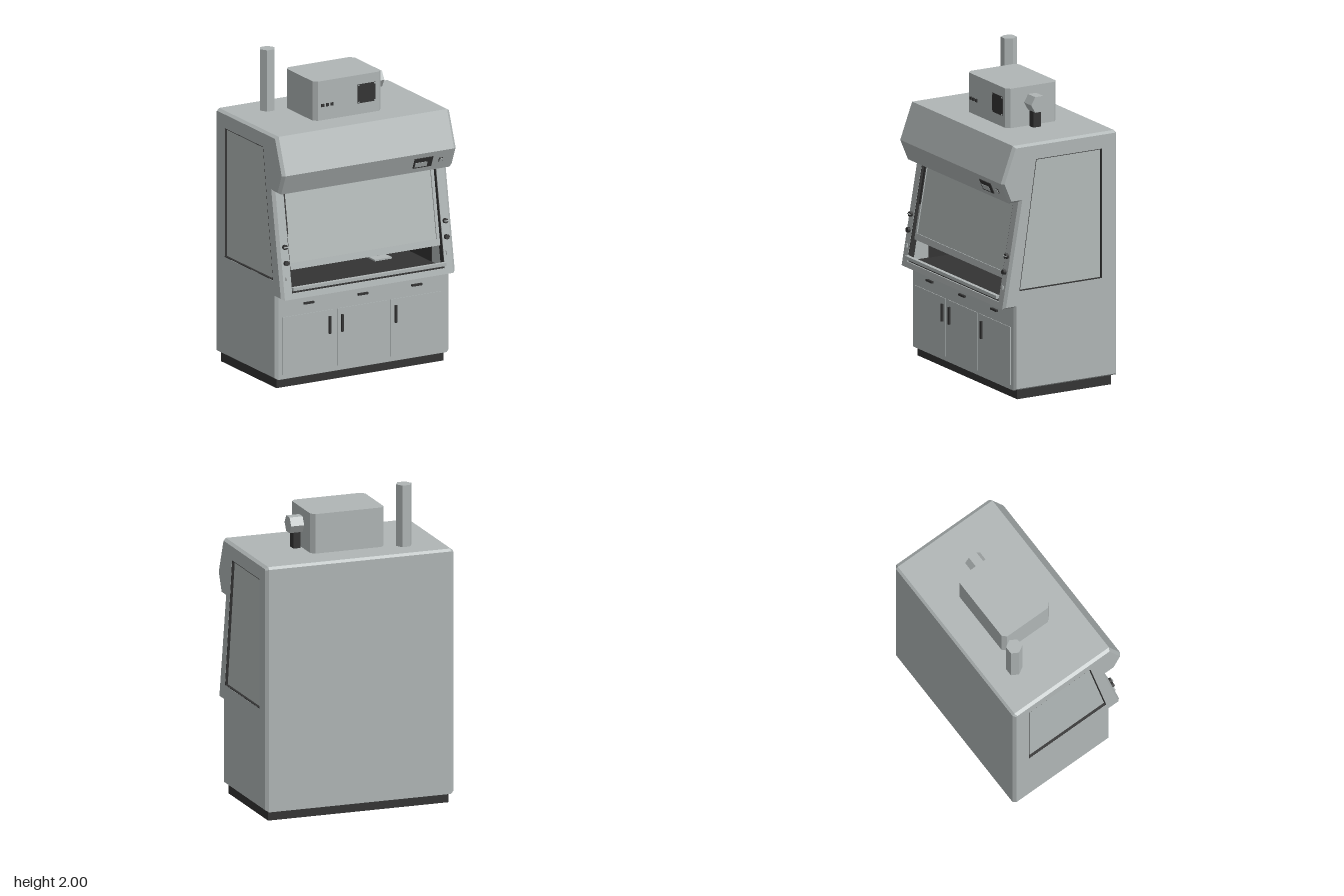
import * as THREE from 'three';

const mat = (name, color, side = THREE.FrontSide) => {
  const m = new THREE.MeshStandardMaterial({ color, side });
  m.name = name;
  return m;
};

export function createModel() {
  const root = new THREE.Group();
  root.name = 'fumeHood';
  const body = mat('paintedSteel', 0xb0b6b6);
  const glass = mat('glass', 0xb3bab9);
  const dark = mat('darkTrim', 0x333333);

  const add = (name, geo, material, parent = root) => {
    const m = new THREE.Mesh(geo, material);
    m.name = name;
    parent.add(m);
    return m;
  };
  // Box given by its extents on each axis
  const box = (name, [x0, x1], [y0, y1], [z0, z1], material, parent) => {
    const g = new THREE.BoxGeometry(x1 - x0, y1 - y0, z1 - z0);
    g.translate((x0 + x1) / 2, (y0 + y1) / 2, (z0 + z1) / 2);
    return add(name, g, material, parent);
  };
  const shapeOf = (pts, hole) => {
    const s = new THREE.Shape(pts.map(p => new THREE.Vector2(...p)));
    if (hole) s.holes.push(new THREE.Path(hole.map(p => new THREE.Vector2(...p))));
    return s;
  };
  // Extrudes a (z, y) profile across x, from x0 to the larger x1
  const across = (pts, x0, x1, hole) => {
    const g = new THREE.ExtrudeGeometry(shapeOf(pts, hole), { depth: x1 - x0, bevelEnabled: false });
    g.rotateY(-Math.PI / 2);
    return g.translate(x1, 0, 0);
  };

  // Side profile, and its inset copy for the chamfered outer face
  const profile = [[-0.41, 0.06], [0.32, 0.06], [0.32, 0.585], [0.4, 0.585], [0.285, 1.25],
    [0.355, 1.25], [0.41, 1.38], [0.325, 1.61], [-0.395, 1.61], [-0.41, 1.595]];
  const inset = [[-0.395, 0.072], [0.308, 0.072], [0.308, 0.597], [0.384, 0.597], [0.268, 1.265],
    [0.346, 1.265], [0.395, 1.38], [0.314, 1.597], [-0.388, 1.597], [-0.395, 1.59]];
  const pane = [[-0.3, 0.69], [0.29, 0.69], [0.17, 1.51], [-0.3, 1.51]];
  const paneInner = [[-0.296, 0.694], [0.285, 0.694], [0.166, 1.506], [-0.296, 1.506]];

  // Side walls with recessed windows
  for (const s of [-1, 1]) {
    const span = (a, b) => [Math.min(s * a, s * b), Math.max(s * a, s * b)];
    add('sideWall', across(profile, ...span(0.54, 0.595)), body);
    const g = across(profile, ...span(0.595, 0.615), pane);
    const p = g.attributes.position;
    for (let i = 0; i < p.count; i++) {
      if (Math.abs(p.getX(i) - s * 0.615) > 1e-4) continue;
      const k = profile.findIndex(q => Math.hypot(q[0] - p.getZ(i), q[1] - p.getY(i)) < 1e-4);
      if (k >= 0) p.setXYZ(i, s * 0.615, inset[k][1], inset[k][0]);
    }
    g.computeVertexNormals();
    add('sidePanel', g, body);
    add('windowGasket', across(pane, ...span(0.595, 0.614), paneInner), dark);
    add('sideWindow', across(paneInner, ...span(0.594, 0.598)), glass);
    box('chamberSideLiner', span(0.536, 0.541), [0.62, 1.25], [-0.29, 0.24], dark);
  }

  // Base cabinet, hood and back between the side walls
  add('baseCabinet', across([[-0.41, 0.06], [0.32, 0.06], [0.32, 0.585], [0.4, 0.585],
    [0.394, 0.62], [-0.41, 0.62]], -0.54, 0.54), body);
  add('hood', across([[-0.41, 1.25], [0.355, 1.25], [0.41, 1.38], [0.325, 1.61],
    [-0.395, 1.61], [-0.41, 1.595]], -0.54, 0.54), body);
  box('backWall', [-0.54, 0.54], [0.62, 1.25], [-0.41, -0.3], body);
  box('plinth', [-0.59, 0.59], [0, 0.061], [-0.38, 0.29], dark);

  // Work chamber
  box('chamberBack', [-0.54, 0.54], [0.62, 1.25], [-0.3, -0.29], dark);
  box('baffle', [-0.47, 0.47], [0.68, 1.2], [-0.29, -0.275], dark);
  box('workSurface', [-0.54, 0.54], [0.62, 0.624], [-0.29, 0.385], dark);
  box('airfoil', [-0.54, 0.54], [0.64, 0.66], [0.385, 0.41], body);
  const post = add('chamberPost', new THREE.CylinderGeometry(0.028, 0.028, 0.63, 6), body);
  post.position.set(-0.338, 0.935, -0.1);
  post.rotation.y = Math.PI / 6;
  box('standBase', [0.24, 0.36], [0.624, 0.634], [-0.04, 0.06], body);
  box('standRod', [0.296, 0.304], [0.63, 1.05], [-0.004, 0.004], body);

  // Sloping front: its local y runs up the slope, z points outward
  const slope = new THREE.Group();
  slope.name = 'slopingFront';
  slope.position.set(0, 0.585, 0.4);
  slope.rotation.x = -Math.atan(0.115 / 0.665);
  root.add(slope);
  const up = y => (y - 0.585) * 1.0149;
  const rect = (x0, x1, y0, y1) => [[x0, y0], [x1, y0], [x1, y1], [x0, y1]];
  const sash = new THREE.ExtrudeGeometry(
    shapeOf(rect(-0.54, 0.54, up(0.76), up(1.275)), rect(-0.52, 0.515, up(0.8), up(1.26))),
    { depth: 0.015, bevelEnabled: false });
  add('sashFrame', sash.translate(0, 0, -0.04), body, slope);
  box('sashGlass', [-0.52, 0.52], [up(0.79), up(1.27)], [-0.038, -0.032], glass, slope);
  box('sashCable', [-0.536, -0.521], [up(0.98), up(1.25)], [-0.026, -0.018], dark, slope);
  for (const s of [-1, 1]) {
    const track = add('sashTrack', new THREE.BoxGeometry(0.005, up(1.25) - up(0.63), 0.04), dark, slope);
    track.position.set(s * 0.5385, (up(1.25) + up(0.63)) / 2, -0.022);
    // Service knobs and outlet on each post
    for (const y of [0.908, 0.81]) {
      const knob = add('serviceKnob', new THREE.CylinderGeometry(0.016, 0.016, 0.022, 8), dark, slope);
      knob.rotation.x = Math.PI / 2;
      knob.position.set(s * 0.567, up(y), 0.009);
    }
    const outlet = add('outlet', new THREE.BoxGeometry(0.022, 0.022, 0.012), body, slope);
    outlet.position.set(s * 0.567, up(0.715), 0.004);
    box('knobGrip', [s * 0.567 - 0.016, s * 0.567 + 0.016], [up(0.908) - 0.003, up(0.908) + 0.003],
      [0.018, 0.026], body, slope);
  }

  // Control display on the underside slope of the hood
  const panel = new THREE.Group();
  panel.name = 'controlPanel';
  panel.position.set(0, 1.316, 0.383);
  panel.rotation.x = Math.atan(0.055 / 0.13);
  root.add(panel);
  box('display', [0.325, 0.455], [-0.036, 0.036], [-0.004, 0.005], dark, panel);
  box('displayReadout', [0.335, 0.42], [-0.028, 0.006], [0.004, 0.007], body, panel);
  box('switchSurround', [0.502, 0.528], [-0.014, 0.014], [-0.004, 0.004], dark, panel);
  box('switch', [0.505, 0.525], [-0.011, 0.011], [0, 0.007], body, panel);

  // Doors and pulls
  [[-0.565, -0.2, -0.235, -0.383], [-0.18, 0.175, -0.148, 0], [0.2, 0.565, 0.232, 0.38]]
    .forEach(([x0, x1, handle, pull]) => {
      box('door', [x0, x1], [0.09, 0.455], [0.315, 0.324], body);
      box('doorHandle', [handle - 0.007, handle + 0.007], [0.305, 0.415], [0.322, 0.337], dark);
      box('drawerPull', [pull - 0.035, pull + 0.035], [0.517, 0.529], [0.318, 0.335], dark);
    });

  // Fan housing on the roof, with chamfered upright edges
  const c = 0.025;
  const housing = new THREE.ExtrudeGeometry(shapeOf([[-0.24 + c, -0.15], [0.24 - c, -0.15],
    [0.24, -0.15 + c], [0.24, 0.21 - c], [0.24 - c, 0.21], [-0.24 + c, 0.21],
    [-0.24, 0.21 - c], [-0.24, -0.15 + c]]), { depth: 0.255, bevelEnabled: false });
  add('fanHousing', housing.rotateX(-Math.PI / 2).translate(0, 1.605, 0), body);
  for (const x of [-0.185, -0.151, -0.118])
    box('indicator', [x - 0.009, x + 0.009], [1.696, 1.714], [0.148, 0.159], dark);
  box('ventGrille', [0.065, 0.19], [1.68, 1.8], [0.146, 0.154], dark);
  for (const x of [0.071, 0.184]) for (const y of [1.686, 1.794])
    box('grilleScrew', [x - 0.004, x + 0.004], [y - 0.004, y + 0.004], [0.15, 0.157], body);

  // Fan motor with its conduit, and the exhaust stack
  const motor = add('fanMotor', new THREE.CylinderGeometry(0.057, 0.057, 0.087, 6).toNonIndexed(), body);
  motor.geometry.computeVertexNormals();
  motor.rotation.z = Math.PI / 2;
  motor.position.set(0.2815, 1.76, -0.027);
  box('motorConduit', [0.255, 0.3], [1.608, 1.72], [-0.055, 0], dark);
  const stack = add('exhaustStack', new THREE.CylinderGeometry(0.05, 0.05, 0.4, 6).toNonIndexed(), body);
  stack.geometry.computeVertexNormals();
  stack.rotation.y = Math.PI / 6;
  stack.position.set(-0.358, 1.8, -0.22);

  return root;
}
